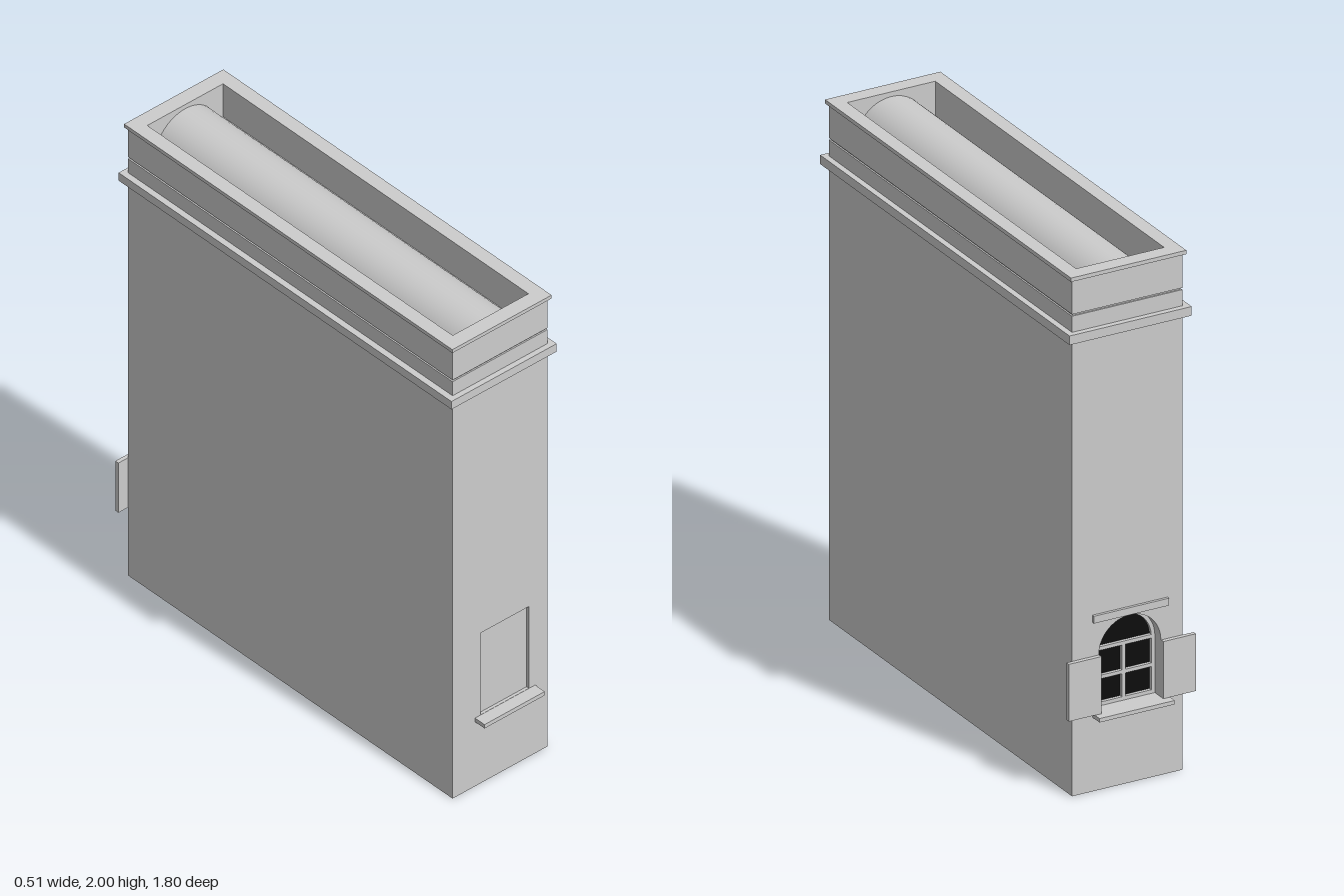
import * as THREE from 'three';

export function createModel() {
  const model = new THREE.Group();
  const stone = new THREE.MeshStandardMaterial({ color: 0xcccccc });
  stone.name = 'paleGrey';
  const dark = new THREE.MeshStandardMaterial({ color: 0x0c0c0c });
  dark.name = 'darkGlass';

  const add = (name, geometry, material = stone) => {
    const mesh = new THREE.Mesh(geometry, material);
    mesh.name = name;
    model.add(mesh);
    return mesh;
  };
  // Box given by its limits on each axis
  const box = (name, x0, x1, y0, y1, z0, z1, material) => {
    const mesh = add(name, new THREE.BoxGeometry(x1 - x0, y1 - y0, z1 - z0), material);
    mesh.position.set((x0 + x1) / 2, (y0 + y1) / 2, (z0 + z1) / 2);
    return mesh;
  };
  const rect = (x0, x1, y0, y1, Type = THREE.Shape) => {
    const s = new Type();
    s.moveTo(x0, y0);
    s.lineTo(x1, y0);
    s.lineTo(x1, y1);
    s.lineTo(x0, y1);
    s.closePath();
    return s;
  };
  const arch = (cx, w, y0, spring, Type = THREE.Shape) => {
    const s = new Type();
    s.moveTo(cx - w, y0);
    s.lineTo(cx + w, y0);
    s.lineTo(cx + w, spring);
    s.absarc(cx, spring, w, 0, Math.PI, false);
    s.closePath();
    return s;
  };
  const slab = (name, shape, z0, depth, material) => {
    const g = new THREE.ExtrudeGeometry(shape, { depth, bevelEnabled: false, curveSegments: 20 });
    return add(name, g.translate(0, 0, z0), material);
  };

  // Main block, with end walls cut for the front niche and the back window
  const X0 = -0.215, X1 = 0.23, Z = 0.85, CX = 0.008;
  box('mainBlock', X0, X1, 0, 1.75, -0.79, 0.838);
  const frontWall = rect(X0, X1, 0, 1.75);
  frontWall.holes.push(rect(-0.085, 0.142, 0.303, 0.665, THREE.Path));
  slab('frontWall', frontWall, 0.838, 0.012);
  const WX = -0.003, W = 0.125, SILL = 0.3, SPRING = 0.52;
  const backWall = rect(X0, X1, 0, 1.75);
  backWall.holes.push(arch(WX, W, SILL, SPRING, THREE.Path));
  slab('backWall', backWall, -Z, 0.06);

  // Horizontal rings around the trough on top
  const ring = (name, x0, x1, z, y0, y1) => {
    const s = rect(x0, x1, -z, z);
    s.holes.push(rect(-0.17, 0.185, -0.8, 0.8, THREE.Path));
    const g = new THREE.ExtrudeGeometry(s, { depth: y1 - y0, bevelEnabled: false });
    add(name, g.rotateX(-Math.PI / 2).translate(0, y0, 0));
  };
  box('cornice', -0.24, 0.253, 1.75, 1.785, -0.872, 0.872);
  box('lowerParapet', X0, X1, 1.785, 1.847, -Z, Z);
  box('parapetJoint', X0 + 0.006, X1 - 0.006, 1.847, 1.854, -Z + 0.006, Z - 0.006);
  ring('upperParapet', X0, X1, Z, 1.854, 1.985);
  ring('coping', -0.225, 0.24, 0.86, 1.985, 2);

  // Barrel roof lying in the trough
  const barrel = new THREE.CylinderGeometry(0.142, 0.142, 1.6, 40);
  add('barrelRoof', barrel.rotateX(Math.PI / 2)).position.set(CX, 1.84, 0);

  // Front sill
  box('frontSill', -0.11, 0.172, 0.285, 0.302, 0.84, 0.9);

  // Back window: glass, arched frame, glazing bars
  slab('glass', arch(WX, W, SILL, SPRING), -0.795, 0.004, dark);
  const frame = arch(WX, W, SILL, SPRING);
  frame.holes.push(arch(WX, W - 0.014, SILL + 0.014, SPRING, THREE.Path));
  slab('windowFrame', frame, -0.808, 0.013);
  box('mullion', WX - 0.007, WX + 0.007, SILL, SPRING, -0.808, -0.795);
  for (const y of [0.41, SPRING]) {
    box('glazingBar', WX - W, WX + W, y - 0.007, y + 0.007, -0.808, -0.795);
  }

  // Back sill, lintel strip and open shutters
  box('backSill', -0.155, 0.148, 0.285, 0.3, -0.9, -0.84);
  box('lintel', -0.155, 0.148, 0.65, 0.678, -0.861, -0.845);
  for (const side of [-1, 1]) {
    const hinge = WX + side * W, tip = WX + side * 0.256;
    box('shutter', Math.min(hinge, tip), Math.max(hinge, tip), SILL, SPRING, -0.868, -0.852);
  }

  return model;
}
